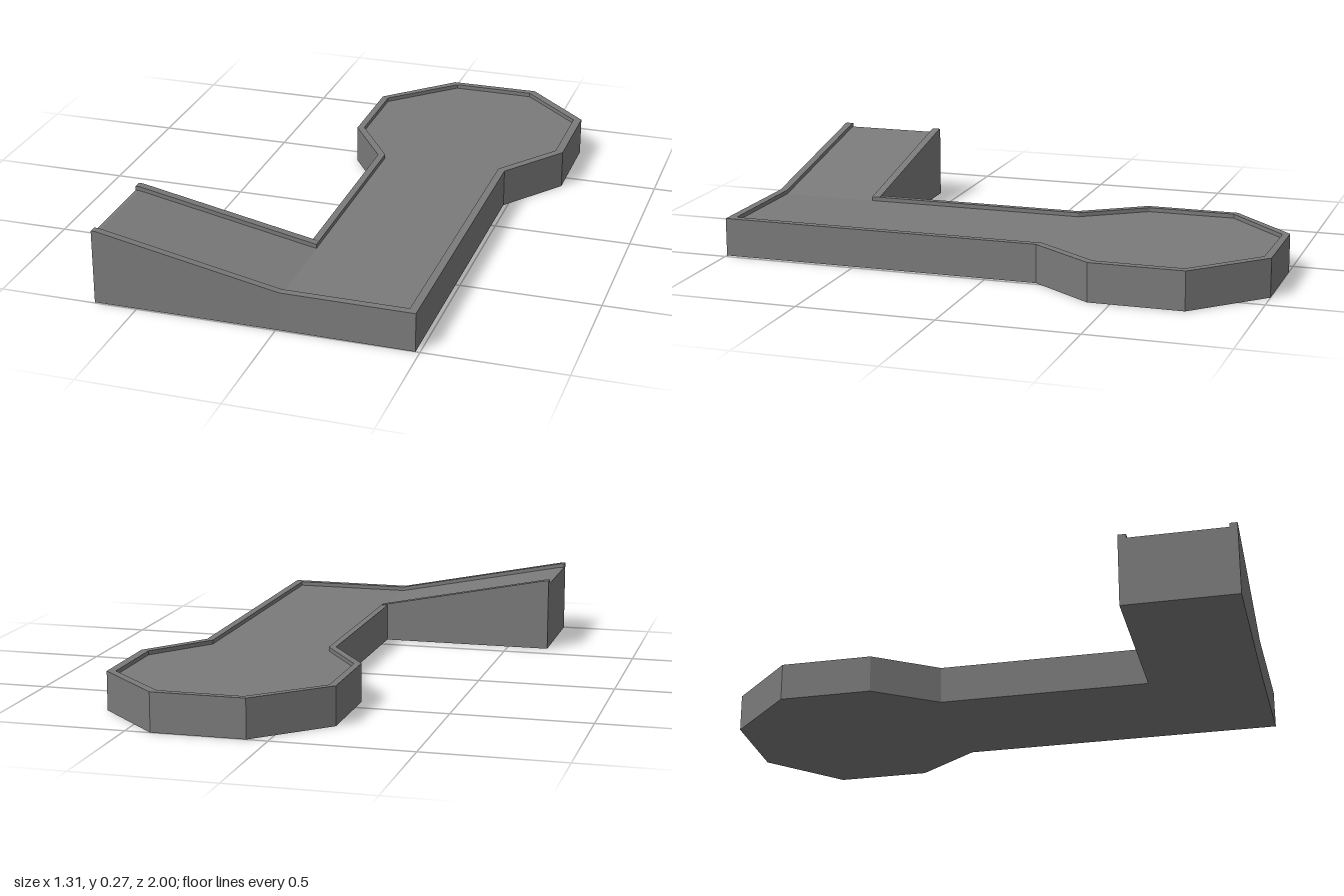
import * as THREE from 'three';

const RIM = 0.14, DROP = 0.015, HIGH = 0.27;
const LEFT = -0.655, BREAK = 0.015;

export function createModel() {
  const group = new THREE.Group();
  const grey = new THREE.MeshStandardMaterial({ color: 0x7a7a7a });
  grey.name = 'mid grey';

  const add = (name, geometry) => {
    const mesh = new THREE.Mesh(geometry, grey);
    mesh.name = name;
    group.add(mesh);
  };

  // Plan outline given as [x, z], raised from the ground to a flat top
  const slab = (name, points, height) => {
    const shape = new THREE.Shape(points.map(([x, z]) => new THREE.Vector2(x, -z)));
    const g = new THREE.ExtrudeGeometry(shape, { depth: height, bevelEnabled: false });
    add(name, g.rotateX(-Math.PI / 2));
  };

  // Sloping wedge between two z positions
  const wedge = (name, z0, z1, drop) => {
    const shape = new THREE.Shape([
      new THREE.Vector2(LEFT, 0), new THREE.Vector2(BREAK, 0),
      new THREE.Vector2(BREAK, RIM - drop), new THREE.Vector2(LEFT + 0.015, HIGH - drop),
      new THREE.Vector2(LEFT, HIGH - drop),
    ]);
    const g = new THREE.ExtrudeGeometry(shape, { depth: z1 - z0, bevelEnabled: false });
    add(name, g.translate(0, 0, z0));
  };

  // Lane and octagonal end: outer and inner edges of the rim
  const outer = [
    [-0.01, 0.585], [-0.01, -0.19], [-0.165, -0.42], [-0.165, -0.76], [0.075, -1], [0.41, -1],
    [0.655, -0.76], [0.655, -0.42], [0.485, -0.185], [0.485, 1], [BREAK, 0.995],
  ];
  const inner = [
    [BREAK, 0.585], [BREAK, -0.2], [-0.14, -0.43], [-0.14, -0.75], [0.09, -0.975], [0.395, -0.972],
    [0.625, -0.75], [0.625, -0.43], [0.458, -0.2], [0.456, 0.97], [BREAK, 0.967],
  ];
  slab('laneFloor', inner, RIM - DROP);
  slab('laneRim', [...outer, ...[...inner].reverse()], RIM);

  // Ramp, open at its high end
  wedge('rampFloor', 0.615, 0.967, DROP);
  wedge('rampBackRim', 0.585, 0.615, 0);
  wedge('rampFrontRim', 0.967, 0.995, 0);

  return group;
}
